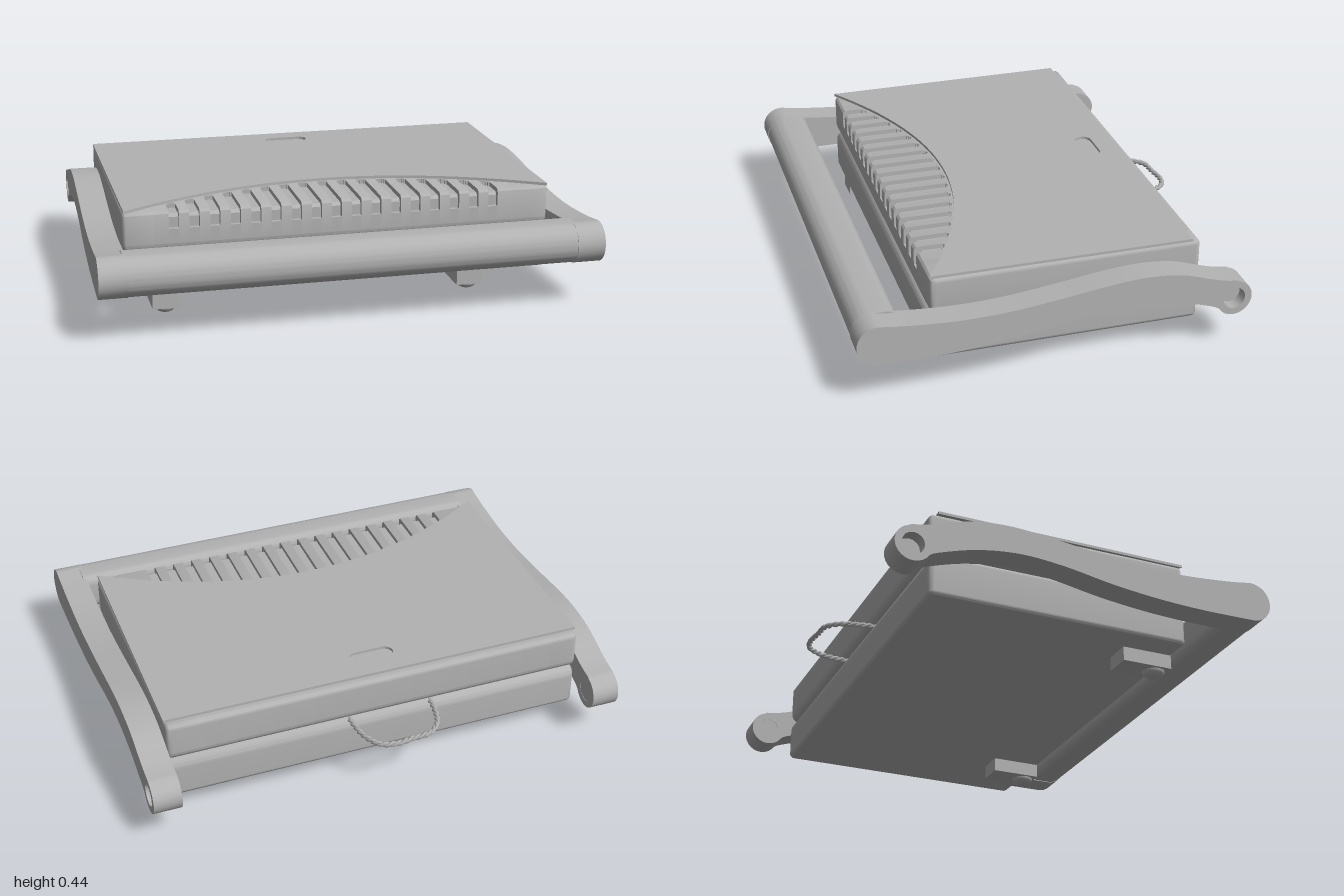
import * as THREE from 'three';
import { toCreasedNormals } from 'three/addons/utils/BufferGeometryUtils.js';

const grey = new THREE.MeshStandardMaterial({ color: 0xb2b2b2 });
grey.name = 'grey metal';

const Z0 = -0.6, Z1 = 0.48, SPLIT = 0.262, TOP = 0.432;

// Shapes for side profiles use X = -z, Y = y; extruded from x0 to x1
function extrudeX(shape, x0, x1, bevel = 0) {
  const g = new THREE.ExtrudeGeometry(shape, {
    depth: x1 - x0 - 2 * bevel, curveSegments: 8, bevelEnabled: bevel > 0,
    bevelThickness: bevel, bevelSize: bevel, bevelOffset: -bevel, bevelSegments: 4,
  });
  g.rotateY(Math.PI / 2).translate(x0 + bevel, 0, 0);
  return toCreasedNormals(g, 0.6);
}

// Rectangle with rounded corners: front-bottom, back-bottom, back-top, front-top
function profile(zBack, zFront, y0, y1, [fb, bb, bt, ft]) {
  const s = new THREE.Shape(), a = -zFront, b = -zBack;
  s.absarc(a + fb, y0 + fb, fb, Math.PI, Math.PI * 1.5);
  s.absarc(b - bb, y0 + bb, bb, Math.PI * 1.5, Math.PI * 2);
  s.absarc(b - bt, y1 - bt, bt, 0, Math.PI / 2);
  s.absarc(a + ft, y1 - ft, ft, Math.PI / 2, Math.PI);
  return s;
}

// Lid profile with a recess over the top front edge, starting at zEnd
function slotProfile(zEnd) {
  const s = new THREE.Shape(), a = -Z1, b = -Z0, d = 0.018, r = 0.04;
  s.absarc(a + r, SPLIT + r, r, Math.PI, Math.PI * 1.5);
  s.absarc(b - r, SPLIT + r, r, Math.PI * 1.5, Math.PI * 2);
  s.absarc(b - 0.02, TOP - 0.02, 0.02, 0, Math.PI / 2);
  s.lineTo(-zEnd, TOP);
  s.lineTo(-zEnd, TOP - d);
  s.lineTo(a + d + 0.012, TOP - d);
  s.lineTo(a + d, TOP - d - 0.012);
  s.lineTo(a + d, 0.36);
  s.lineTo(a, 0.36);
  return s;
}

// Curved front edge of the top plate
const arcZ = (x) => 0.2 + 0.285 * (x / 0.87) ** 2;

export function createModel() {
  const model = new THREE.Group();
  const add = (name, geometry, parent = model) => {
    const m = new THREE.Mesh(geometry, grey);
    m.name = name;
    parent.add(m);
    return m;
  };

  // Lower body
  add('lowerBody', extrudeX(profile(Z0, Z1, 0.086, SPLIT, [0.02, 0.02, 0.045, 0.045]), -0.87, 0.87, 0.02));

  // Lid: plain ribs and slotted strips side by side
  const lid = new THREE.Group();
  lid.name = 'lid';
  model.add(lid);
  const plain = profile(Z0, Z1, SPLIT, TOP, [0.04, 0.04, 0.02, 0.02]);
  const count = 17, pitch = 0.0815, half = 0.02, strips = 6;
  const centre = (i) => -0.017 + (i - (count - 1) / 2) * pitch;
  add('lidEnd', extrudeX(plain, -0.87, -0.73, 0.02), lid);
  add('lidEnd', extrudeX(plain, 0.7, 0.87, 0.02), lid);
  for (let i = 0; i <= count; i++) {
    const x0 = i === 0 ? -0.85 : centre(i - 1) + half;
    const x1 = i === count ? 0.85 : centre(i) - half;
    add('lidRib', extrudeX(plain, x0, x1), lid);
  }
  for (let i = 0; i < count; i++) {
    for (let k = 0; k < strips; k++) {
      const w = (2 * half) / strips, x0 = centre(i) - half + k * w;
      const u = ((k + 0.5) / strips) * 2 - 1;
      const zEnd = arcZ(x0 + w / 2) + 0.008 + 0.02 * (1 - Math.sqrt(1 - u * u));
      add('lidSlot', extrudeX(slotProfile(zEnd), x0, x0 + w), lid);
    }
  }

  // Top plate with curved front edge and an oval recess
  const plate = new THREE.Shape();
  plate.moveTo(0.872, 0.565);
  plate.lineTo(-0.872, 0.565);
  for (let i = 0; i <= 32; i++) {
    const x = -0.865 + (1.73 * i) / 32;
    plate.lineTo(x, -arcZ(x));
  }
  const oval = new THREE.Path();
  oval.absarc(-0.08, 0.45, 0.034, Math.PI / 2, Math.PI * 1.5);
  oval.absarc(0.035, 0.45, 0.034, -Math.PI / 2, Math.PI / 2);
  plate.holes.push(oval);
  const plateGeo = new THREE.ExtrudeGeometry(plate, { depth: 0.011, bevelEnabled: false });
  plateGeo.rotateX(-Math.PI / 2).translate(0, TOP, 0);
  add('topPlate', toCreasedNormals(plateGeo, 0.6));

  // Side arms: wavy profile with a rounded grip end and a rear hub
  const top = [[-0.6, 0.33], [-0.4, 0.316], [-0.2, 0.32], [0, 0.34], [0.2, 0.364], [0.34, 0.372],
    [0.48, 0.358], [0.6, 0.32], [0.66, 0.303], [0.715, 0.294]];
  const bottom = [[0.6, 0.2], [0.45, 0.243], [0.28, 0.262], [0.1, 0.248], [-0.1, 0.213],
    [-0.3, 0.19], [-0.5, 0.18], [-0.71, 0.18]];
  const vectors = (list) => list.map(([x, y]) => new THREE.Vector2(x, y));
  const hub = [0.705, 0.218];
  const arm = new THREE.Shape();
  arm.absarc(-0.711, 0.2625, 0.0825, Math.PI * 1.5, Math.PI / 2, true);
  arm.splineThru(vectors(top));
  arm.absarc(hub[0], hub[1], 0.073, 1.3, -2.6, true);
  arm.splineThru(vectors(bottom));
  const hole = new THREE.Path();
  hole.absarc(hub[0], hub[1], 0.045, 0, Math.PI * 2);
  arm.holes.push(hole);
  for (const side of [1, -1]) {
    const g = extrudeX(arm, side > 0 ? 0.887 : -1, side > 0 ? 1 : -0.887);
    // Arms lean slightly inward toward the back
    const p = g.attributes.position;
    for (let i = 0; i < p.count; i++) p.setX(i, p.getX(i) - side * 0.0125 * (0.79 - p.getZ(i)));
    add(side > 0 ? 'leftArm' : 'rightArm', g);
    const plug = new THREE.CylinderGeometry(0.046, 0.046, 0.06, 24).rotateZ(Math.PI / 2);
    add('hubPlug', plug).position.set(side * 0.9, hub[1], -hub[0]);
  }

  // Front handle bar
  add('handleBar', extrudeX(profile(0.615, 0.79, 0.183, 0.344, [0.078, 0.04, 0.04, 0.078]), -0.9, 0.9));

  // Front feet with rubber domes
  for (const x of [-0.705, 0.55]) {
    add('footBlock', new THREE.BoxGeometry(0.112, 0.07, 0.21)).position.set(x, 0.063, 0.365);
    const dome = new THREE.SphereGeometry(0.045, 20, 12);
    dome.scale(1, 0.67, 1);
    add('footDome', dome).position.set(x, 0.03, 0.42);
  }

  // Twisted cord loop at the back: two strands wound round one curve
  const path = new THREE.CatmullRomCurve3([[-0.23, -0.56], [-0.225, -0.63], [-0.2, -0.72], [-0.15, -0.768],
    [-0.08, -0.775], [0, -0.783], [0.06, -0.765], [0.1, -0.7], [0.115, -0.62], [0.118, -0.56]]
    .map(([x, z]) => new THREE.Vector3(x, 0.25, z)));
  for (const phase of [0, Math.PI]) {
    const pts = [];
    for (let i = 0; i <= 160; i++) {
      const t = path.getPointAt(i / 160), d = path.getTangentAt(i / 160);
      const a = phase + (i / 160) * Math.PI * 24;
      pts.push(new THREE.Vector3(t.x - d.z * 0.005 * Math.cos(a), t.y + 0.005 * Math.sin(a), t.z + d.x * 0.005 * Math.cos(a)));
    }
    add('cordStrand', new THREE.TubeGeometry(new THREE.CatmullRomCurve3(pts), 200, 0.007, 6));
  }
  return model;
}
